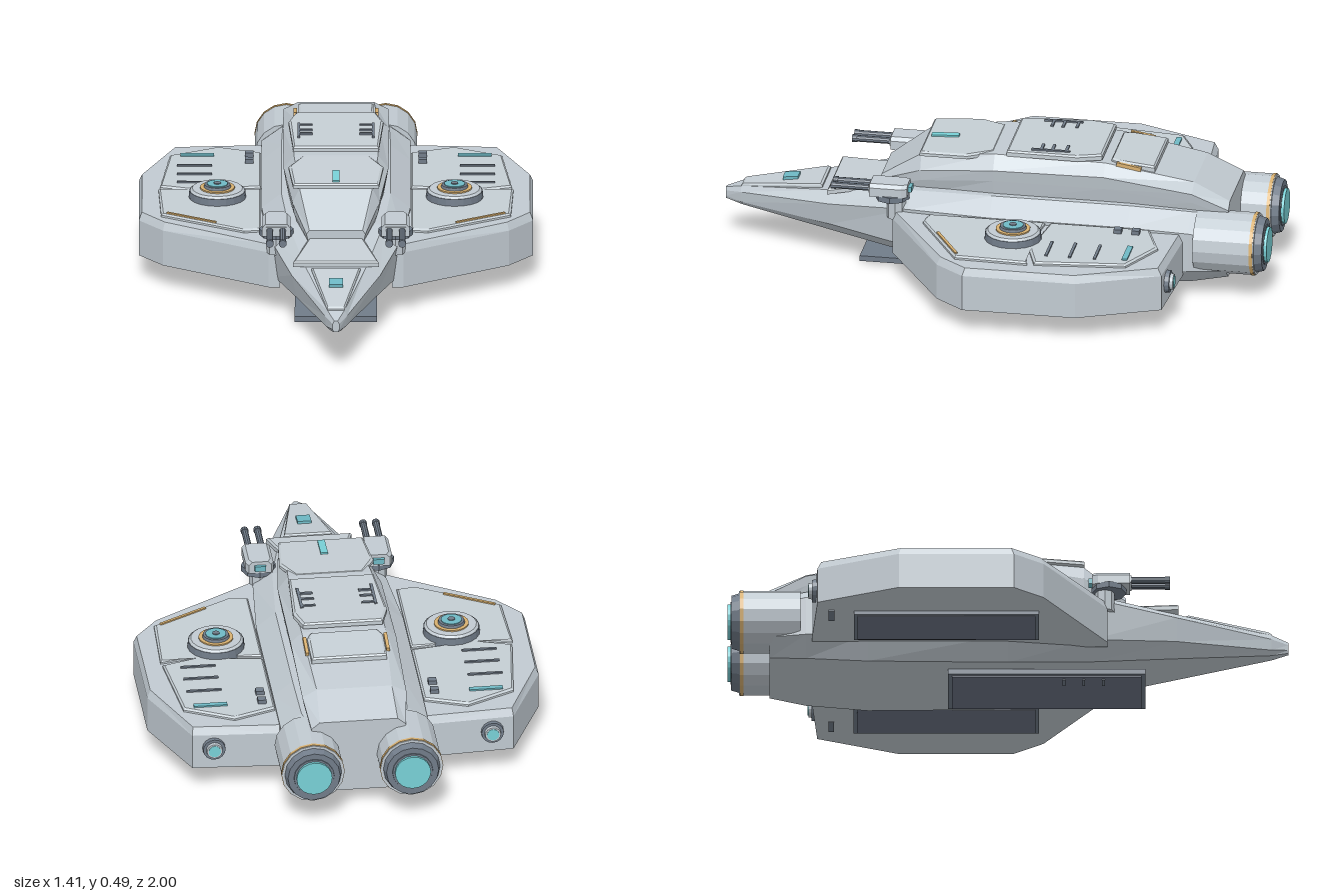
import * as THREE from 'three';

const mat = (name, color) => Object.assign(new THREE.MeshStandardMaterial({ color, flatShading: true }), { name });
const M = {
  hull: mat('hull grey', 0xc1cad1),
  plate: mat('plate grey', 0xc5ced4),
  trim: mat('dark trim', 0x717c89),
  dark: mat('underside slate', 0x6a7284),
  teal: mat('teal', 0x6fb9c5),
  glow: mat('bright teal glow', 0x78d0d6),
  gold: mat('gold trim', 0xd8b070),
};

function add(parent, name, geo, material, x = 0, y = 0, z = 0) {
  const m = new THREE.Mesh(geo, material);
  m.name = name;
  m.position.set(x, y, z);
  parent.add(m);
  return m;
}
const box = (p, name, w, h, d, m, x, y, z) => add(p, name, new THREE.BoxGeometry(w, h, d), m, x, y, z);
// Upright disc from y0 to y1
const disc = (p, name, r0, r1, y0, y1, m, x, z, n = 20) =>
  add(p, name, new THREE.CylinderGeometry(r1, r0, y1 - y0, n), m, x, (y0 + y1) / 2, z);
// Cylinder lying along z from z0 to z1
function rod(p, name, r0, r1, z0, z1, m, x, y, n = 16) {
  const g = new THREE.CylinderGeometry(r1, r0, Math.abs(z1 - z0), n);
  g.rotateX(z1 > z0 ? Math.PI / 2 : -Math.PI / 2);
  return add(p, name, g, m, x, y, (z0 + z1) / 2);
}

// Solid through equal rings of [x, y, z], capped at both ends, always facing outwards
function loft(rings) {
  const tris = [], n = rings[0].length, last = rings[rings.length - 1];
  for (let r = 0; r + 1 < rings.length; r++) {
    for (let i = 0; i < n; i++) {
      const j = (i + 1) % n, a = rings[r], b = rings[r + 1];
      tris.push([a[i], a[j], b[j]], [a[i], b[j], b[i]]);
    }
  }
  for (let i = 1; i + 1 < n; i++) {
    tris.push([rings[0][0], rings[0][i + 1], rings[0][i]], [last[0], last[i], last[i + 1]]);
  }
  let volume = 0;
  for (const [a, b, c] of tris) {
    volume += new THREE.Vector3(...a).dot(new THREE.Vector3(...b).cross(new THREE.Vector3(...c)));
  }
  if (volume < 0) tris.forEach(t => t.reverse());
  const g = new THREE.BufferGeometry();
  g.setAttribute('position', new THREE.Float32BufferAttribute(tris.flat(2), 3));
  g.computeVertexNormals();
  return g;
}

// Eight-sided body section: half widths and heights from the bottom up
const section = ([z, bw, by, lw, ly, uw, uy, tw, ty]) => [
  [bw, by, z], [lw, ly, z], [uw, uy, z], [tw, ty, z],
  [-tw, ty, z], [-uw, uy, z], [-lw, ly, z], [-bw, by, z]];

// Grow or shrink an outline of [x, z] about its middle by a distance
function offset(pts, d) {
  const c = [0, 1].map(k => pts.reduce((s, p) => s + p[k], 0) / pts.length);
  return pts.map(p => {
    const v = [p[0] - c[0], p[1] - c[1]], l = Math.hypot(...v);
    return [p[0] + v[0] / l * d, p[1] + v[1] / l * d];
  });
}
// Bevelled armour plate; slope tilts it along z
function plate(p, name, pts, y0, y1, slope = 0) {
  const ring = (o, y) => o.map(([x, z]) => [x, y + slope * z, z]);
  add(p, name, loft([ring(offset(pts, 0.004), y0), ring(offset(pts, 0.004), y1 - 0.006), ring(offset(pts, -0.005), y1)]), M.plate);
}
const mirrored = half => [...half, ...half.map(([x, z]) => [-x, z]).reverse()];

function buildWing(s) {
  const g = new THREE.Group();
  g.name = s > 0 ? 'leftWing' : 'rightWing';
  const side = pts => pts.map(([x, z]) => [x * s, z]);
  const outline = side([[0.2, -0.7], [0.265, -0.7], [0.577, -0.68], [0.703, -0.39], [0.703, 0.02], [0.617, 0.127], [0.24, 0.355], [0.2, 0.355]]);
  const ring = (o, y) => o.map(([x, z]) => [x, y, z]);
  add(g, 'wingBody', loft([ring(outline, 0.09), ring(outline, 0.222), ring(offset(outline, -0.014), 0.25)]), M.hull);

  plate(g, 'rearWingPlate', side([[0.27, -0.58], [0.42, -0.635], [0.59, -0.55], [0.625, -0.23], [0.5, -0.19], [0.27, -0.225]]), 0.245, 0.263);
  plate(g, 'frontWingPlate', side([[0.27, -0.2], [0.5, -0.17], [0.63, -0.2], [0.62, 0.06], [0.33, 0.225], [0.27, 0.215]]), 0.245, 0.263);
  const strip = box(g, 'frontGoldStrip', 0.2, 0.008, 0.01, M.gold, 0.515 * s, 0.264, 0.108);
  strip.rotation.y = s * 0.517;

  // Deck markings
  box(g, 'tealStrip', 0.12, 0.007, 0.02, M.teal, 0.495 * s, 0.265, -0.542);
  for (const z of [-0.435, -0.345, -0.26]) box(g, 'deckVent', 0.125, 0.007, 0.01, M.trim, 0.505 * s, 0.265, z);
  for (const z of [-0.54, -0.475]) box(g, 'deckHatch', 0.03, 0.016, 0.028, M.trim, 0.31 * s, 0.27, z);

  // Round emitter
  const x = 0.423 * s, z = -0.115;
  disc(g, 'emitterBase', 0.104, 0.1, 0.245, 0.288, M.trim, x, z);
  disc(g, 'emitterCollar', 0.098, 0.09, 0.288, 0.296, M.hull, x, z);
  disc(g, 'emitterGoldRing', 0.062, 0.062, 0.29, 0.301, M.gold, x, z);
  disc(g, 'emitterInnerRing', 0.05, 0.046, 0.295, 0.311, M.trim, x, z);
  disc(g, 'emitterLens', 0.037, 0.037, 0.3, 0.314, M.teal, x, z);
  disc(g, 'emitterPin', 0.013, 0.013, 0.31, 0.317, M.trim, x, z, 12);

  // Underside bay and rear thruster
  box(g, 'bayFrame', 0.215, 0.015, 0.66, M.trim, 0.395 * s, 0.084, -0.22);
  box(g, 'bayPanel', 0.195, 0.01, 0.635, M.dark, 0.395 * s, 0.078, -0.22);
  box(g, 'undersideVent', 0.08, 0.007, 0.02, M.trim, 0.47 * s, 0.089, -0.63);
  rod(g, 'thrusterRim', 0.042, 0.04, -0.67, -0.7, M.trim, 0.5 * s, 0.17);
  rod(g, 'thrusterNozzle', 0.031, 0.028, -0.69, -0.712, M.hull, 0.5 * s, 0.17);
  rod(g, 'thrusterGlow', 0.022, 0.022, -0.7, -0.714, M.glow, 0.5 * s, 0.17);
  return g;
}

function buildEngine(s) {
  const g = new THREE.Group();
  g.name = s > 0 ? 'leftEngine' : 'rightEngine';
  const x = 0.177 * s, y = 0.198;
  rod(g, 'engineHousing', 0.112, 0.112, -0.74, -0.96, M.hull, x, y);
  rod(g, 'engineGoldBand', 0.114, 0.114, -0.944, -0.956, M.gold, x, y);
  rod(g, 'engineNozzle', 0.104, 0.094, -0.955, -0.987, M.trim, x, y);
  rod(g, 'engineInnerRing', 0.075, 0.072, -0.98, -0.99, M.trim, x, y);
  rod(g, 'engineGlow', 0.064, 0.064, -0.98, -1, M.glow, x, y, 20);
  return g;
}

function buildTurret(s) {
  const g = new THREE.Group();
  g.name = s > 0 ? 'leftTurret' : 'rightTurret';
  const x = 0.213 * s;
  disc(g, 'turretPost', 0.035, 0.035, 0.22, 0.295, M.hull, x, 0.345, 8);
  disc(g, 'turretBase', 0.062, 0.062, 0.293, 0.315, M.trim, x, 0.36, 8);
  const half = (w, z) => [[x - w, 0.312, z], [x + w, 0.312, z], [x + w, 0.345, z], [x + w - 0.012, 0.358, z], [x - w + 0.012, 0.358, z], [x - w, 0.345, z]];
  add(g, 'turretHousing', loft([half(0.04, 0.3), half(0.05, 0.32), half(0.05, 0.435)]), M.hull);
  box(g, 'turretSensor', 0.04, 0.02, 0.015, M.teal, x, 0.335, 0.295);
  box(g, 'turretFace', 0.074, 0.026, 0.01, M.plate, x, 0.335, 0.435);
  for (const d of [-0.023, 0.023]) {
    rod(g, 'barrel', 0.012, 0.012, 0.43, 0.565, M.trim, x + d, 0.335, 10);
    rod(g, 'muzzle', 0.014, 0.014, 0.56, 0.577, M.trim, x + d, 0.335, 10);
  }
  return g;
}

export function createModel() {
  const ship = new THREE.Group();
  ship.name = 'spaceship';

  add(ship, 'mainHull', loft([
    [1, 0.008, 0.155, 0.012, 0.165, 0.012, 0.185, 0.006, 0.197],
    [0.94, 0.02, 0.14, 0.035, 0.155, 0.04, 0.195, 0.03, 0.215],
    [0.6, 0.09, 0.095, 0.14, 0.14, 0.158, 0.225, 0.11, 0.26],
    [0.3, 0.15, 0.055, 0.22, 0.11, 0.24, 0.262, 0.17, 0.308],
    [0, 0.2, 0.03, 0.265, 0.11, 0.265, 0.262, 0.195, 0.318],
    [-0.5, 0.21, 0.03, 0.265, 0.11, 0.265, 0.262, 0.195, 0.318],
    [-0.72, 0.2, 0.045, 0.265, 0.11, 0.265, 0.255, 0.19, 0.31],
    [-0.85, 0.17, 0.06, 0.24, 0.11, 0.24, 0.23, 0.16, 0.3],
  ].map(section)), M.hull);

  add(ship, 'upperDeck', loft([
    [0.42, 0.09, 0.26, 0.1, 0.29, 0.105, 0.315, 0.095, 0.33],
    [0.27, 0.13, 0.28, 0.15, 0.34, 0.155, 0.38, 0.13, 0.435],
    [0, 0.165, 0.29, 0.18, 0.37, 0.187, 0.412, 0.15, 0.462],
    [-0.4, 0.165, 0.29, 0.182, 0.37, 0.19, 0.418, 0.15, 0.458],
    [-0.72, 0.165, 0.28, 0.18, 0.34, 0.187, 0.375, 0.135, 0.402],
    [-0.85, 0.15, 0.24, 0.165, 0.29, 0.17, 0.315, 0.14, 0.34],
  ].map(section)), M.hull);

  // Armour plates along the spine and nose
  plate(ship, 'foreDeckPlate', mirrored([[0.12, 0.01], [0.165, 0.1], [0.15, 0.27]]), 0.446, 0.463, -0.04);
  plate(ship, 'midDeckPlate', mirrored([[0.14, -0.385], [0.165, -0.3], [0.15, -0.045]]), 0.457, 0.478, -0.02);
  plate(ship, 'aftDeckPlate', mirrored([[0.132, -0.575], [0.132, -0.45], [0.118, -0.42]]), 0.486, 0.508, 0.1);
  plate(ship, 'nosePlate', mirrored([[0.095, 0.415], [0.15, 0.605]]), 0.32, 0.341, -0.1);
  plate(ship, 'noseTipPlate', mirrored([[0.085, 0.64], [0.03, 0.935]]), 0.335, 0.362, -0.145);

  // Spine markings
  box(ship, 'spineLight', 0.026, 0.008, 0.1, M.glow, 0, 0.457, 0.205).rotation.x = 0.04;
  box(ship, 'noseLight', 0.05, 0.012, 0.055, M.teal, 0, 0.256, 0.763).rotation.x = 0.1;
  for (const s of [1, -1]) {
    box(ship, 'deckRail', 0.01, 0.007, 0.14, M.trim, 0.133 * s, 0.484, -0.2);
    for (const z of [-0.255, -0.205, -0.165]) box(ship, 'deckTick', 0.05, 0.007, 0.01, M.trim, 0.108 * s, 0.484, z);
    box(ship, 'deckGoldStrip', 0.012, 0.014, 0.09, M.gold, 0.145 * s, 0.448, -0.485).rotation.x = -0.17;
    ship.add(buildWing(s), buildEngine(s), buildTurret(s));
  }

  // Belly skid
  box(ship, 'bellyMount', 0.2, 0.03, 0.3, M.hull, 0, 0.035, -0.03);
  box(ship, 'bellyFrame', 0.294, 0.02, 0.705, M.trim, 0, 0.018, 0.138);
  box(ship, 'bellyPanel', 0.27, 0.012, 0.675, M.dark, 0, 0.009, 0.138);
  for (const z of [0.2, 0.27, 0.34]) box(ship, 'bellyTick', 0.05, 0.005, 0.01, M.trim, -0.09, 0.0025, z);
  return ship;
}
